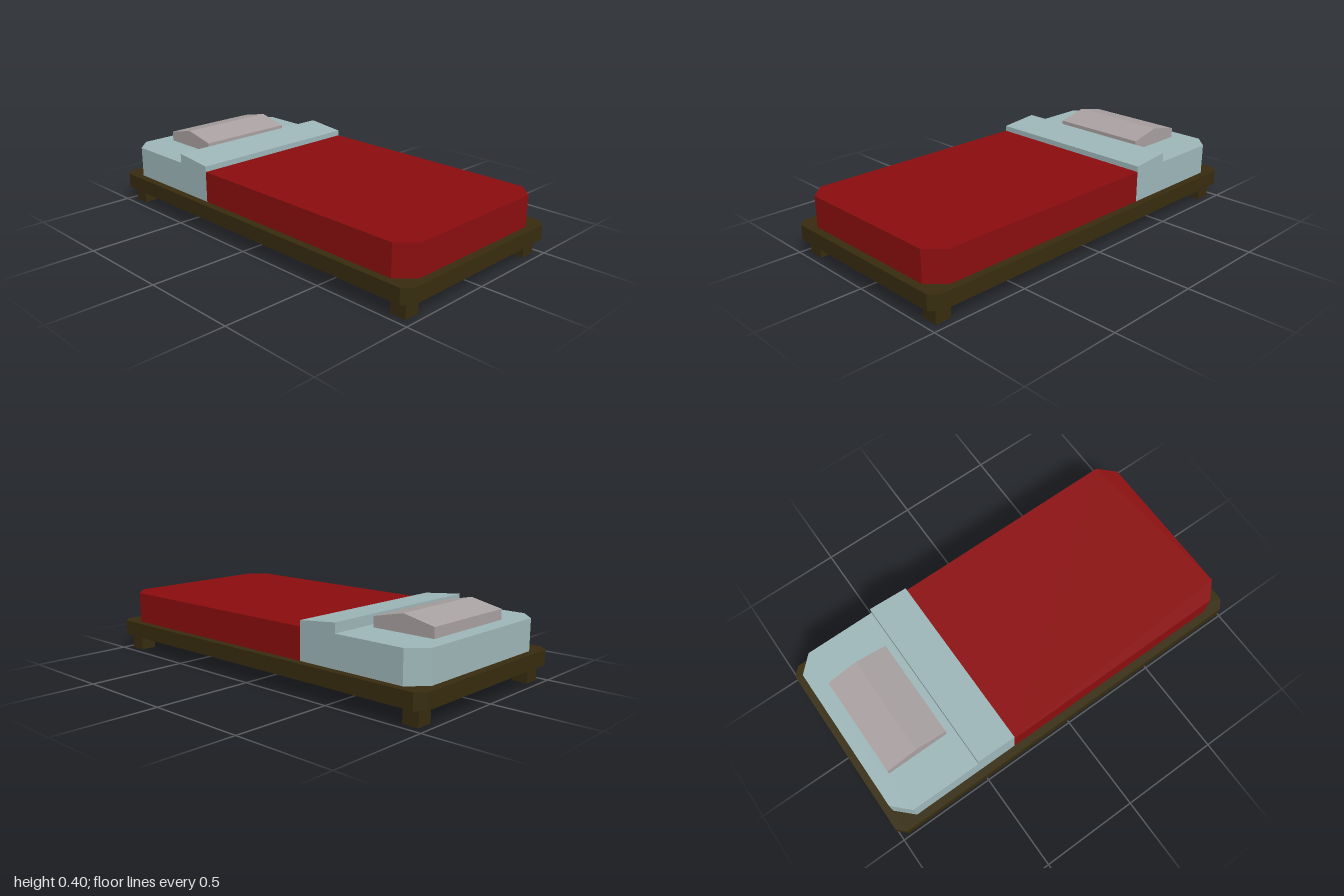
import * as THREE from 'three';

const shapeOf = (pts) => new THREE.Shape(pts.map(([x, y]) => new THREE.Vector2(x, y)));

// Horizontal slab: a plan outline (x, z) raised from y0 to y1
function slab(pts, y0, y1) {
  const g = new THREE.ExtrudeGeometry(shapeOf(pts), { depth: y1 - y0, bevelEnabled: false });
  return g.rotateX(-Math.PI / 2).translate(0, y0, 0);
}

// Side profile (x, y) extended along z, centred
function bar(pts, width) {
  const g = new THREE.ExtrudeGeometry(shapeOf(pts), { depth: width, bevelEnabled: false });
  return g.translate(0, 0, -width / 2);
}

export function createModel() {
  const bed = new THREE.Group();
  bed.name = 'bed';

  const material = (name, color) => {
    const m = new THREE.MeshStandardMaterial({ color, flatShading: true });
    m.name = name;
    return m;
  };
  const wood = material('darkWood', 0x372c0f);
  const sheet = material('paleBlueSheet', 0x9eb7b9);
  const red = material('redBlanket', 0x8b0d0e);
  const grey = material('greyPillow', 0xa9a1a1);

  const add = (name, geometry, mat) => {
    const mesh = new THREE.Mesh(geometry, mat);
    mesh.name = name;
    bed.add(mesh);
    return mesh;
  };

  // Frame with cut corners
  const c = 0.04;
  add('frame', slab([
    [-1 + c, -0.5], [1 - c, -0.5], [1, -0.5 + c], [1, 0.5 - c],
    [1 - c, 0.5], [-1 + c, 0.5], [-1, 0.5 - c], [-1, -0.5 + c],
  ], 0.08, 0.155), wood);

  // Four square legs
  for (const x of [-0.92, 0.92]) {
    for (const z of [-0.42, 0.42]) {
      add('leg', new THREE.BoxGeometry(0.08, 0.08, 0.08), wood).position.set(x, 0.04, z);
    }
  }

  // Mattress: pale head end and blanket-covered foot end
  const seam = -0.315, w = 0.462;
  add('mattressHead', slab([
    [-0.88, -w], [seam, -w], [seam, w], [-0.88, w], [-0.96, 0.382], [-0.96, -0.382],
  ], 0.155, 0.31), sheet);
  add('blanket', slab([
    [seam, -w], [0.88, -w], [0.96, -0.382], [0.96, 0.382], [0.88, w], [seam, w],
  ], 0.155, 0.31), red);

  // Folded-back sheet, sloping down towards the foot
  add('sheetFold', bar([[-0.52, 0.31], [seam, 0.31], [seam, 0.338], [-0.52, 0.358]], 2 * w), sheet);

  // Pillow with a ridged top
  add('pillow', bar([
    [-0.88, 0.31], [-0.56, 0.31], [-0.56, 0.36], [-0.72, 0.395], [-0.88, 0.36],
  ], 0.516), grey);

  return bed;
}
